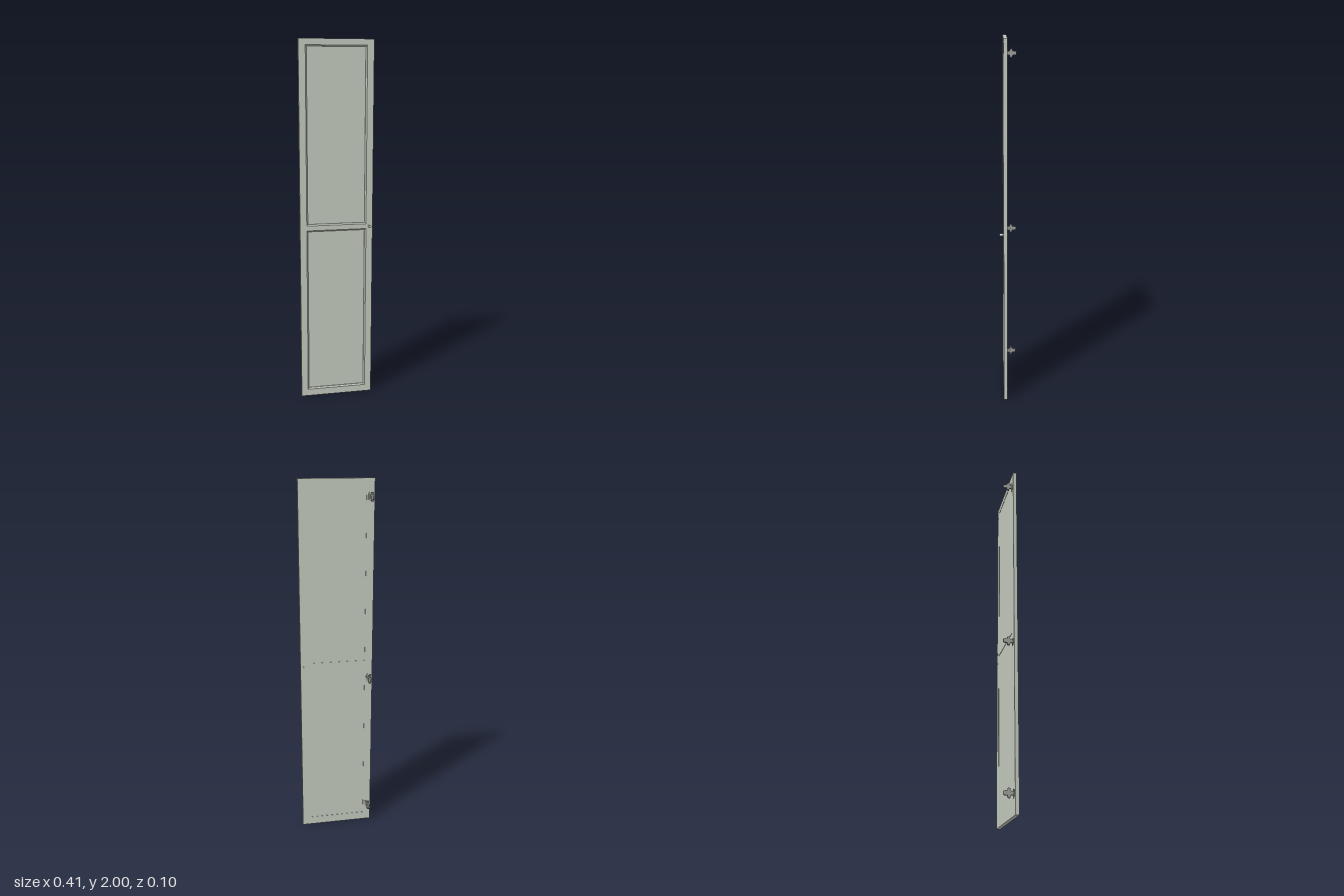
import * as THREE from 'three';

const BACK = 0.007, FRONT = 0.027, CHAMFER = 0.007;
const HALF_W = 0.204, OPEN_X = 0.167;
const openings = [[0.039, 0.975], [1.002, 1.967]]; // bottom and top of each panel opening

function rectPoints(x, y0, y1) {
  return [[-x, y0], [x, y0], [x, y1], [-x, y1]];
}

// Mitred moulding: a profile of [inset, z] points swept round a rectangle
function mouldingGeometry(x, y0, y1, profile) {
  const pos = [];
  for (let i = 0; i < profile.length - 1; i++) {
    const [a, b] = [profile[i], profile[i + 1]];
    const ra = rectPoints(x - a[0], y0 + a[0], y1 - a[0]);
    const rb = rectPoints(x - b[0], y0 + b[0], y1 - b[0]);
    for (let k = 0; k < 4; k++) {
      const n = (k + 1) % 4;
      const p = [...ra[k], a[1]], q = [...ra[n], a[1]];
      const r = [...rb[n], b[1]], s = [...rb[k], b[1]];
      pos.push(...p, ...q, ...r, ...p, ...r, ...s);
    }
  }
  const g = new THREE.BufferGeometry();
  g.setAttribute('position', new THREE.Float32BufferAttribute(pos, 3));
  g.computeVertexNormals();
  return g;
}

export function createModel() {
  const paint = new THREE.MeshStandardMaterial({ color: 0xc3cabd });
  paint.name = 'sage paint';
  const metal = new THREE.MeshStandardMaterial({ color: 0x9a9d98 });
  metal.name = 'grey metal';

  const door = new THREE.Group();
  door.name = 'panelDoor';
  const add = (parent, name, geo, mat, x = 0, y = 0, z = 0) => {
    const m = new THREE.Mesh(geo, mat);
    m.name = name;
    m.position.set(x, y, z);
    parent.add(m);
    return m;
  };
  const disc = (r, len, sides = 24) => new THREE.CylinderGeometry(r, r, len, sides).rotateX(Math.PI / 2);

  // Frame with two openings
  const shape = new THREE.Shape(rectPoints(HALF_W, 0, 2).map(p => new THREE.Vector2(...p)));
  for (const [y0, y1] of openings) {
    shape.holes.push(new THREE.Path(rectPoints(OPEN_X, y0, y1).map(p => new THREE.Vector2(...p))));
  }
  add(door, 'frame', new THREE.ExtrudeGeometry(shape, { depth: FRONT - BACK, bevelEnabled: false }), paint, 0, 0, BACK);

  // Chamfered mouldings and recessed panels
  const profile = [[0, FRONT], [CHAMFER, FRONT - CHAMFER], [CHAMFER, BACK], [0, BACK]];
  for (const [y0, y1] of openings) {
    add(door, 'moulding', mouldingGeometry(OPEN_X, y0, y1, profile), paint);
    add(door, 'panel', new THREE.BoxGeometry(2 * OPEN_X - 0.01, y1 - y0 - 0.01, 0.008), paint, 0, (y0 + y1) / 2, 0.0125);
  }

  // Knob: a short turned cylinder with softened rim
  const knobProfile = [[0, 0], [0.0065, 0], [0.0075, 0.012], [0.008, 0.02], [0.0072, 0.022], [0, 0.022]];
  const knobGeo = new THREE.LatheGeometry(knobProfile.map(p => new THREE.Vector2(...p)), 24).rotateX(Math.PI / 2);
  add(door, 'knob', knobGeo, paint, 0.186, 0.988, FRONT);
  add(door, 'knobScrew', disc(0.005, 0.002), metal, 0.186, 0.988, BACK - 0.001);

  // Small bumpers on the back of the handle stile
  for (const y of [0.06, 0.93, 1.94]) {
    add(door, 'bumper', disc(0.004, 0.002, 16), paint, 0.19, y, BACK - 0.001);
  }

  // Side outline of the hinge arm as [distance behind door, height]
  const half = [[0, 0.011], [0.012, 0.009], [0.018, 0.011], [0.021, 0.024], [0.032, 0.024],
    [0.035, 0.012], [0.049, 0.011], [0.056, 0.007]];
  const outline = [...half, ...half.slice().reverse().map(([d, h]) => [d, -h])];
  const armShape = new THREE.Shape(outline.map(p => new THREE.Vector2(...p)));
  const armGeo = new THREE.ExtrudeGeometry(armShape, { depth: 0.012, bevelEnabled: false });
  armGeo.rotateY(Math.PI / 2); // shape x runs to -z, depth runs to +x
  armGeo.translate(-0.006, 0, 0);
  // Taper the arm towards its far end
  const p = armGeo.attributes.position;
  for (let i = 0; i < p.count; i++) p.setX(i, p.getX(i) * (1 + p.getZ(i) * 6));
  armGeo.computeVertexNormals();

  for (const y of [0.105, 0.905, 1.905]) {
    const hinge = new THREE.Group();
    hinge.name = 'hinge';
    hinge.position.set(-0.186, y, BACK);
    add(hinge, 'hingeArm', armGeo, metal);
    add(hinge, 'hingePlate', new THREE.BoxGeometry(0.026, 0.03, 0.003), metal, 0.003, 0, -0.0015);
    for (const s of [-1, 1]) {
      add(hinge, 'plateWing', disc(0.005, 0.002, 16), metal, 0.01, s * 0.018, -0.001);
      add(hinge, 'mountScrew', disc(0.0035, 0.003, 16).rotateY(Math.PI / 2), metal, 0.006, s * 0.017, -0.0265);
    }
    add(hinge, 'adjustScrew', disc(0.003, 0.003, 16).rotateY(Math.PI / 2), metal, 0.006, 0, -0.026);
    door.add(hinge);
  }
  return door;
}
